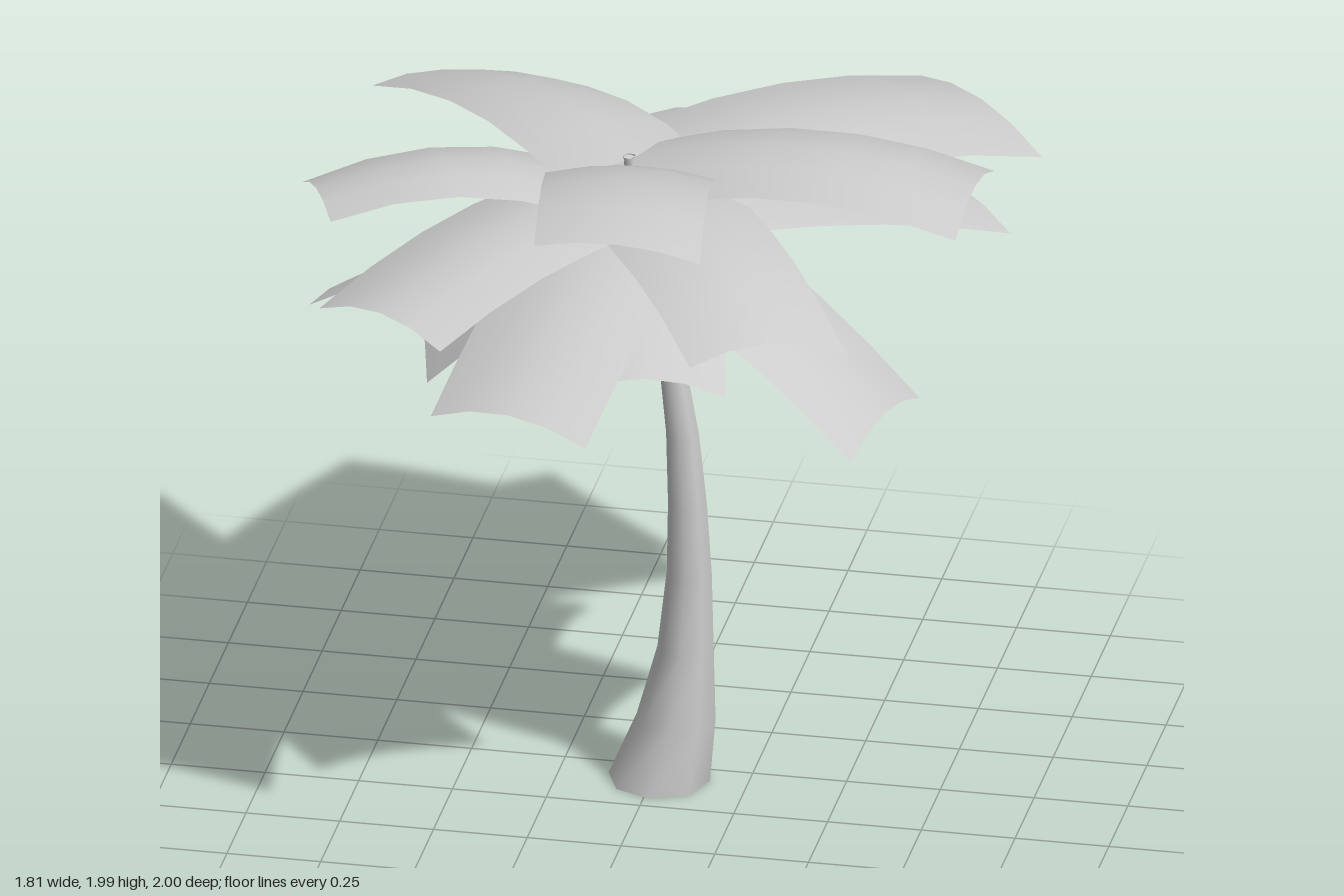
import * as THREE from 'three';
import { toCreasedNormals } from 'three/addons/utils/BufferGeometryUtils.js';

const bark = new THREE.MeshStandardMaterial({ color: 0xcccccc, side: THREE.DoubleSide });
const leaf = new THREE.MeshStandardMaterial({ color: 0xcccccc, side: THREE.DoubleSide });
const lerp = THREE.MathUtils.lerp;

// Bent, tapering trunk, open at the ends: each ring is [y, centre x, radius]
function makeTrunk() {
  const rings = [
    [0, 0.015, 0.135], [0.18, 0.06, 0.105], [0.38, 0.085, 0.075], [0.6, 0.095, 0.06], [0.8, 0.09, 0.052],
    [1.0, 0.077, 0.044], [1.2, 0.05, 0.036], [1.4, 0.01, 0.027], [1.6, -0.035, 0.021], [1.79, -0.065, 0.017],
  ];
  const geo = new THREE.CylinderGeometry(1, 1, 1, 8, rings.length - 1, true);
  const p = geo.attributes.position;
  for (let i = 0; i < p.count; i++) {
    const [y, cx, r] = rings[Math.round((p.getY(i) + 0.5) * (rings.length - 1))];
    p.setXYZ(i, cx + p.getX(i) * r, y, 0.07 + p.getZ(i) * r);
  }
  const mesh = new THREE.Mesh(toCreasedNormals(geo, 0.9), bark);
  mesh.name = 'trunk';
  return mesh;
}

// Broad frond: a and b are the tip corners (counter-clockwise from above),
// arch bows the spine, sag drops the long edges
function makeFrond(name, a, b, baseY, arch, sag) {
  const rows = 5, cols = 4;
  const A = new THREE.Vector3(...a), B = new THREE.Vector3(...b);
  const tip = A.clone().add(B).multiplyScalar(0.5);
  const across = B.clone().sub(A);
  const base = new THREE.Vector3(-0.05, baseY, 0.06);
  const pos = [], index = [];
  for (let i = 0; i <= rows; i++) {
    const t = i / rows;
    for (let j = 0; j <= cols; j++) {
      const s = j / cols - 0.5;
      pos.push(
        lerp(base.x, tip.x, t) + across.x * s,
        lerp(base.y, tip.y, t) + across.y * s * t + 4 * arch * t * (1 - t) + sag * (1 - 4 * s * s),
        lerp(base.z, tip.z, t) + across.z * s
      );
      if (i < rows && j < cols) {
        const k = i * (cols + 1) + j, n = k + cols + 1;
        index.push(k, n, k + 1, n, n + 1, k + 1);
      }
    }
  }
  const geo = new THREE.BufferGeometry();
  geo.setAttribute('position', new THREE.Float32BufferAttribute(pos, 3));
  geo.setIndex(index);
  geo.computeVertexNormals();
  const mesh = new THREE.Mesh(geo, leaf);
  mesh.name = name;
  return mesh;
}

export function createModel() {
  const tree = new THREE.Group();
  tree.name = 'palmTree';
  tree.add(makeTrunk());

  const crown = new THREE.Group();
  crown.name = 'crown';
  const fronds = [
    // Upper layer
    ['raisedFrontFrond', [-0.13, 1.96, 1.0], [0.3, 1.92, 0.94], 1.7, 0.11, 0.03],
    ['upperBackRightFrond', [-0.54, 1.59, -0.7], [-0.85, 1.69, -0.42], 1.74, 0.08, 0.045],
    ['upperBackLeftFrond', [0.905, 1.58, -0.57], [0.505, 1.6, -0.95], 1.69, 0.07, 0.05],
    ['upperLeftFrond', [0.855, 1.75, 0.32], [0.87, 1.75, -0.115], 1.73, 0.075, 0.055],
    ['upperFrontLeftFrond', [0.27, 1.61, 0.925], [0.635, 1.57, 0.675], 1.68, 0.07, 0.05],
    ['upperRightFrond', [-0.905, 1.71, 0.23], [-0.755, 1.78, 0.595], 1.63, 0.1, 0.04],
    ['upperFrontRightFrond', [-0.755, 1.6, 0.745], [-0.385, 1.62, 0.98], 1.68, 0.06, 0.05],
    // Lower layer
    ['lowerFrontFrond', [-0.435, 1.37, 0.855], [0, 1.37, 0.97], 1.64, 0.04, 0.05],
    ['shortFrontFrond', [-0.12, 1.38, 0.68], [0.29, 1.35, 0.55], 1.6, 0.05, 0.05],
    ['lowerLeftFrond', [0.605, 1.15, 0.46], [0.69, 1.12, -0.02], 1.61, 0.045, 0.05],
    ['lowerBackLeftFrond', [0.83, 1.37, -0.53], [0.46, 1.37, -0.87], 1.64, 0.035, 0.05],
    ['lowerBackFrond', [0.35, 1.38, -0.92], [-0.16, 1.42, -1], 1.68, 0.035, 0.04],
    ['lowerBackRightFrond', [-0.21, 1.13, -0.65], [-0.6, 1.16, -0.46], 1.6, 0.05, 0.05],
    ['lowerRightFrond', [-0.775, 1.2, -0.27], [-0.905, 1.31, 0.135], 1.6, 0.05, 0.04],
    ['steepRightFrond', [-0.67, 1.21, -0.16], [-0.57, 1.165, 0.24], 1.58, 0.04, 0.05],
  ];
  for (const frond of fronds) crown.add(makeFrond(...frond));
  tree.add(crown);
  return tree;
}
